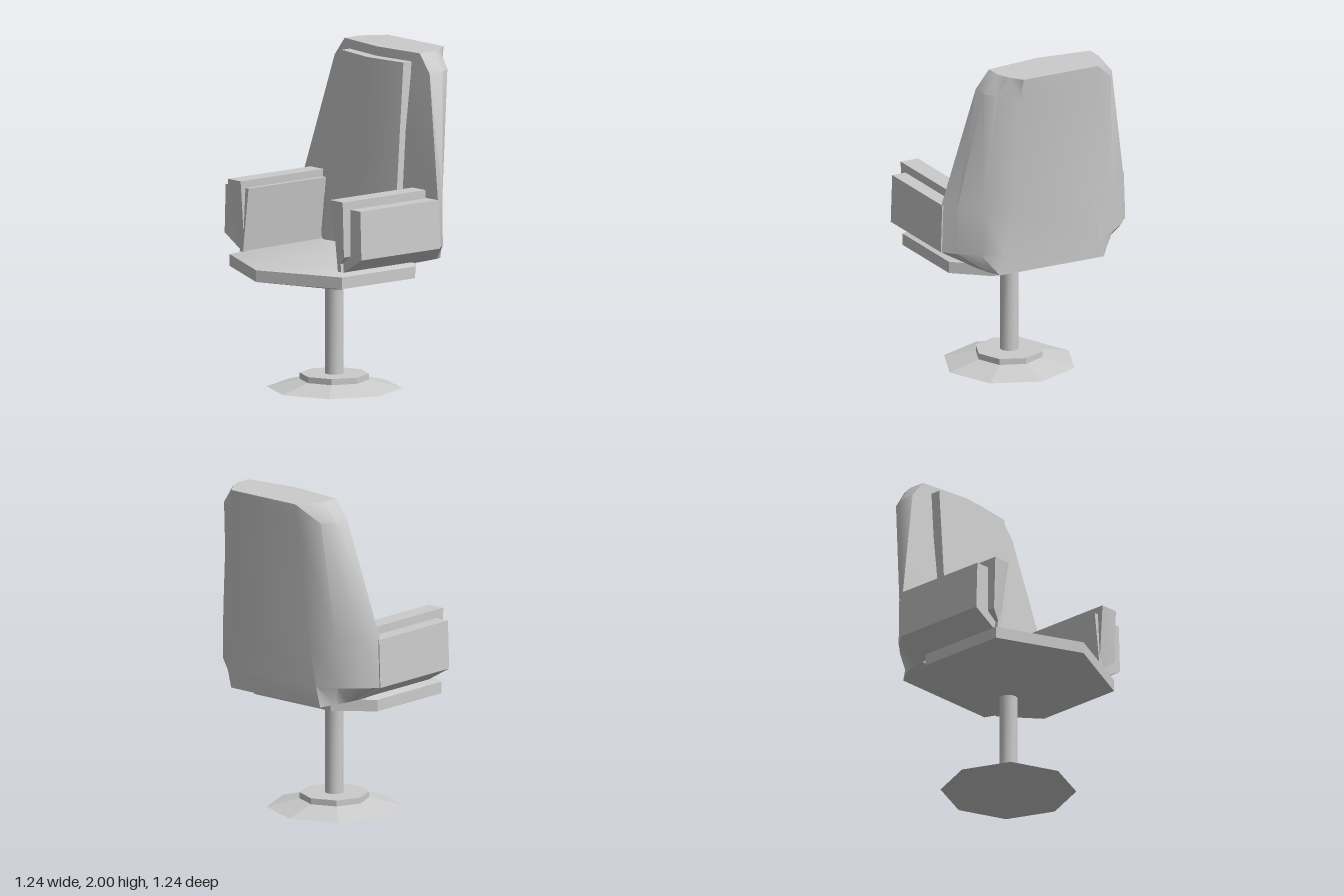
import * as THREE from 'three';
import { toCreasedNormals } from 'three/addons/utils/BufferGeometryUtils.js';

const material = new THREE.MeshStandardMaterial({ color: 0xcccccc });

// Closed solid through equal-length rings of [x, y, z]; ends close onto the given points or ring centres.
function loft(rings, startPoint, endPoint, crease = 0.7) {
  const n = rings[0].length;
  const centre = (r) => [0, 1, 2].map((k) => r.reduce((s, p) => s + p[k], 0) / n);
  const a = startPoint || centre(rings[0]);
  const b = endPoint || centre(rings[rings.length - 1]);
  const tris = [];
  for (let i = 0; i < n; i++) {
    const j = (i + 1) % n;
    tris.push([a, rings[0][j], rings[0][i]]);
    for (let k = 0; k + 1 < rings.length; k++) {
      const r = rings[k], s = rings[k + 1];
      tris.push([r[i], r[j], s[j]], [r[i], s[j], s[i]]);
    }
    const last = rings[rings.length - 1];
    tris.push([b, last[i], last[j]]);
  }
  // Turn the faces outward if the enclosed volume is negative
  const v = (p) => new THREE.Vector3(...p).sub(new THREE.Vector3(...a));
  const volume = tris.reduce((s, [p, q, r]) => s + v(p).dot(v(q).cross(v(r))), 0);
  if (volume < 0) tris.forEach((t) => t.reverse());
  const geo = new THREE.BufferGeometry();
  geo.setAttribute('position', new THREE.Float32BufferAttribute(tris.flat(2), 3));
  geo.computeVertexNormals();
  return toCreasedNormals(geo, crease);
}

// Complete a half ring (first point on the centre line) by mirroring it in x
const mirrorRing = (half) => [...half, ...half.slice(1).reverse().map(([x, y, z]) => [-x, y, z])];
const level = (y, half) => mirrorRing(half.map(([x, z]) => [x, y, z]));

export function createModel() {
  const group = new THREE.Group();
  const add = (name, geo, parent = group) => {
    const mesh = new THREE.Mesh(geo, material);
    mesh.name = name;
    parent.add(mesh);
    return mesh;
  };

  // Octagonal foot, hub and round post
  const column = (name, rTop, rBottom, y0, y1, sides, crease) => {
    const geo = new THREE.CylinderGeometry(rTop, rBottom, y1 - y0, sides);
    add(name, toCreasedNormals(geo, crease)).position.set(0, (y0 + y1) / 2, 0.01);
  };
  column('footPlate', 0.2, 0.4, 0, 0.05, 8, 0.1);
  column('footHub', 0.205, 0.205, 0.045, 0.085, 8, 0.1);
  column('post', 0.055, 0.055, 0.08, 0.62, 12, 0.7);

  // Seat: shallow cone below, flat rim, gently domed top
  const rim = [[0, 0.615], [0.51, 0.385], [0.51, -0.18], [0.3, -0.36]];
  const crown = mirrorRing([[0, 0.805, 0.45], [0.39, 0.805, 0.29], [0.39, 0.81, -0.13], [0.31, 0.83, -0.25]]);
  add('seat', loft([level(0.7, rim), level(0.77, rim), crown], [0, 0.585, 0.01], [0, 0.815, 0.05], 0.5));

  // Wraparound back shell, from the top edge down to the underside
  add('backShell', loft([
    level(2.0, [[0, -0.32], [0.34, -0.36], [0.34, -0.46], [0.25, -0.62]]
      .flatMap((p, i) => (i === 2 ? [p, [0.31, -0.54]] : [p]))),
    level(1.89, [[0, -0.31], [0.43, -0.36], [0.43, -0.46], [0.38, -0.54], [0.26, -0.607]]),
    level(1.17, [[0, -0.24], [0.61, -0.27], [0.55, -0.355], [0.43, -0.46], [0.27, -0.525]]),
    level(0.88, [[0, -0.21], [0.62, -0.27], [0.55, -0.36], [0.44, -0.45], [0.32, -0.513]]),
    mirrorRing([[0, 0.7, -0.25], [0.44, 0.775, -0.27], [0.43, 0.775, -0.35], [0.4, 0.77, -0.44], [0.35, 0.76, -0.51]]),
  ], [0, 2.0, -0.47], [0, 0.705, -0.36], 0.65));

  // Back cushion, slightly V-shaped in plan and leaning with the shell
  const cushionRing = (y, w, z) => [
    [0, y, z], [w, y, z - 0.04], [w, y, z - 0.12], [0, y, z - 0.09], [-w, y, z - 0.12], [-w, y, z - 0.04],
  ];
  add('backCushion', loft([cushionRing(1.945, 0.28, -0.245), cushionRing(0.82, 0.32, -0.135)], null, null, 0.3));

  // Armrests: outer shell, inner side panel and a raised pad between them
  for (const [side, name] of [[1, 'leftArmrest'], [-1, 'rightArmrest']]) {
    const arm = new THREE.Group();
    arm.name = name;
    group.add(arm);
    const prism = (part, outline, front, back) => {
      const ring = (z) => outline.map(([x, y]) => [x * side, y, z]);
      add(part, loft([ring(front), ring(back)], null, null, 0.1), arm);
    };
    prism('armShell', [[0.41, 1.17], [0.61, 1.17], [0.62, 0.88], [0.44, 0.775]], 0.33, -0.28);
    prism('armInnerPanel', [[0.38, 1.175], [0.42, 1.175], [0.46, 0.79], [0.43, 0.79]], 0.35, -0.25);

    // Pad front leans back a little toward its lower tip
    const padOutline = [[0.405, 1.22, 0.39], [0.52, 1.22, 0.39], [0.52, 0.89, 0.38], [0.43, 0.82, 0.34]];
    const padFront = padOutline.map(([x, y, z]) => [x * side, y, z]);
    const padBack = padFront.map(([x, y]) => [x, y, -0.25]);
    add('armPad', loft([padFront, padBack], null, null, 0.3), arm);
  }
  return group;
}
